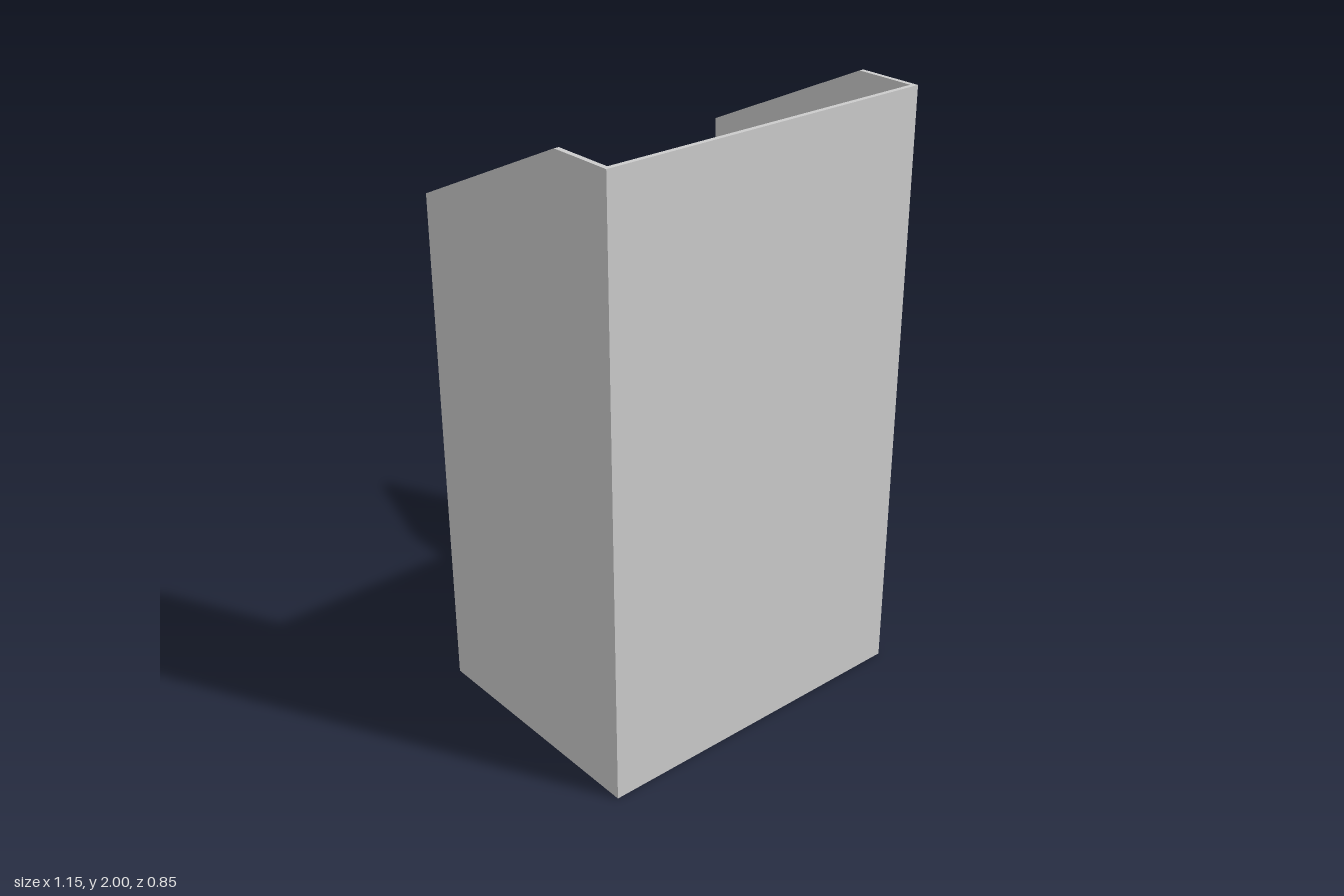
import * as THREE from 'three';

const HALF_W = 0.576, HALF_D = 0.427, HEIGHT = 2, T = 0.016;

export function createModel() {
  const group = new THREE.Group();
  const material = new THREE.MeshStandardMaterial({ color: 0xcccccc, flatShading: true });

  // Front panel, fitted between the two sides
  const front = new THREE.Mesh(new THREE.BoxGeometry(2 * (HALF_W - T), HEIGHT, T), material);
  front.name = 'frontPanel';
  front.position.set(0, HEIGHT / 2, HALF_D - T / 2);
  group.add(front);

  // Side panel profile (z, y): the top slopes down towards the open back
  const profile = new THREE.Shape([
    [-HALF_D, 0], [HALF_D, 0], [HALF_D, HEIGHT], [0.21, HEIGHT], [-HALF_D, 1.705],
  ].map(([z, y]) => new THREE.Vector2(z, y)));
  const sideGeometry = new THREE.ExtrudeGeometry(profile, { depth: T, bevelEnabled: false })
    .translate(0, 0, -T / 2)
    .rotateY(-Math.PI / 2);

  for (const [name, sign] of [['leftPanel', 1], ['rightPanel', -1]]) {
    const side = new THREE.Mesh(sideGeometry, material);
    side.name = name;
    side.position.x = sign * (HALF_W - T / 2);
    group.add(side);
  }
  return group;
}
